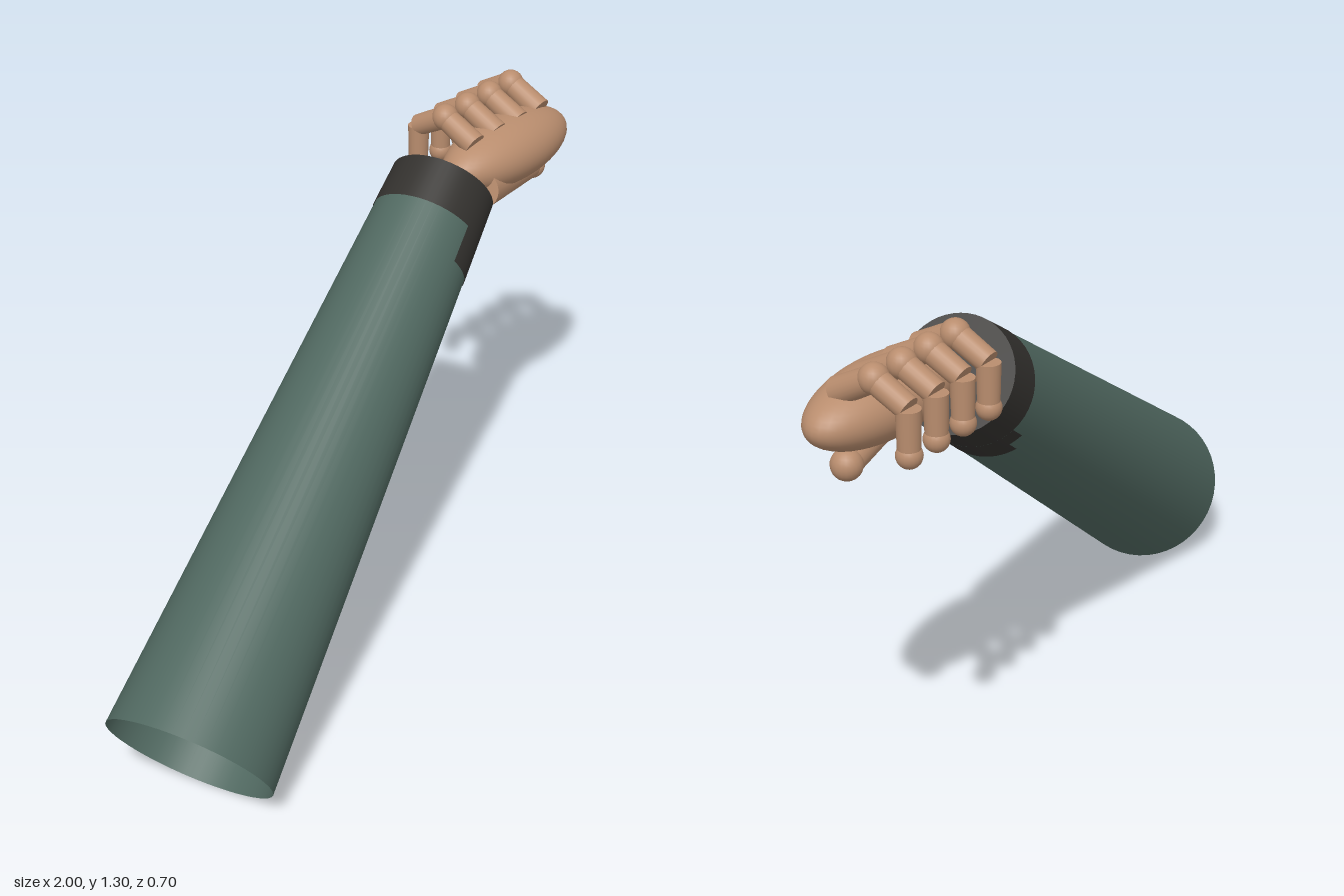
import * as THREE from 'three';

const cloth = new THREE.MeshStandardMaterial({ color: 0x506860, side: THREE.DoubleSide });
const dark = new THREE.MeshStandardMaterial({ color: 0x33312e, side: THREE.DoubleSide });
const skin = new THREE.MeshStandardMaterial({ color: 0xb98d6e });
const V = (x, y, z) => new THREE.Vector3(x, y, z);
const rad = THREE.MathUtils.degToRad;

function add(parent, name, geometry, material) {
  const mesh = new THREE.Mesh(geometry, material);
  mesh.name = name;
  parent.add(mesh);
  return mesh;
}

// Tapered limb segment running from a to b
function segment(parent, name, a, b, ra, rb) {
  const dir = b.clone().sub(a);
  const mesh = add(parent, name, new THREE.CylinderGeometry(rb, ra, dir.length(), 20), skin);
  mesh.position.copy(a).lerp(b, 0.5);
  mesh.quaternion.setFromUnitVectors(V(0, 1, 0), dir.normalize());
}

function ball(parent, name, p, r) {
  add(parent, name, new THREE.SphereGeometry(r, 20, 14), skin).position.copy(p);
}

function createArm() {
  const arm = new THREE.Group();
  arm.name = 'arm';
  const elbow = V(-0.875, 0.185, 0.13);
  const wrist = V(0.5, 1.115, -0.165);
  const axis = wrist.clone().sub(elbow);
  const length = axis.length();
  axis.normalize();

  // Local y runs along the arm, local x points down, local z to the front
  const down = axis.clone().cross(V(0, 0, 1)).normalize();
  const front = down.clone().cross(axis);
  arm.quaternion.setFromRotationMatrix(new THREE.Matrix4().makeBasis(down, axis, front));
  arm.position.copy(elbow);

  const radius = (y) => THREE.MathUtils.lerp(0.222, 0.142, y / length);
  const band = (name, y0, y1, grow, material, start = 0, sweep = 360) => {
    const g = new THREE.CylinderGeometry(radius(y1) + grow, radius(y0) + grow, y1 - y0, 48, 1, true, rad(start), rad(sweep));
    add(arm, name, g, material).position.y = (y0 + y1) / 2;
  };

  // Open sleeve, cuff ring, and the longer stepped cuff on the underside
  band('sleeve', 0, length - 0.1, 0, cloth);
  band('cuff', length - 0.13, length, 0.002, dark);
  band('cuffUnderside', length - 0.24, length - 0.13, 0.002, dark, -15, 150);
  band('cuffStep', length - 0.19, length - 0.13, 0.002, dark, 135, 14);

  const cap = add(arm, 'cuffEnd', new THREE.CircleGeometry(radius(length) + 0.002, 48), dark);
  cap.rotation.x = -Math.PI / 2;
  cap.position.y = length;
  return arm;
}

function createHand() {
  const hand = new THREE.Group();
  hand.name = 'hand';

  const palm = add(hand, 'palm', new THREE.SphereGeometry(1, 40, 28), skin);
  palm.scale.set(0.25, 0.09, 0.11);
  palm.position.set(0.75, 1.145, -0.14);

  // Thumb under the palm
  const thumbTip = V(0.895, 1.038, -0.15);
  segment(hand, 'thumb', V(0.572, 1.1, -0.09), thumbTip, 0.052, 0.033);
  ball(hand, 'thumbTip', thumbTip, 0.038);

  // Four curled fingers
  for (let i = 0; i < 4; i++) {
    const finger = new THREE.Group();
    finger.name = 'finger' + (i + 1);
    finger.position.x = 0.595 + i * 0.1;
    const knuckle = V(0, 1.264, -0.232);
    const bend = V(0, 1.216, -0.322);
    const tip = V(0, 1.106, -0.322);
    segment(finger, 'fingerBase', V(0, 1.21, -0.132), knuckle, 0.034, 0.031);
    ball(finger, 'knuckle', knuckle, 0.036);
    segment(finger, 'fingerMiddle', knuckle, bend, 0.031, 0.029);
    segment(finger, 'fingerEnd', bend, tip, 0.029, 0.026);
    ball(finger, 'fingerTip', tip, 0.031);
    hand.add(finger);
  }
  return hand;
}

export function createModel() {
  const model = new THREE.Group();
  model.name = 'forearmWithHand';
  model.add(createArm(), createHand());
  return model;
}
